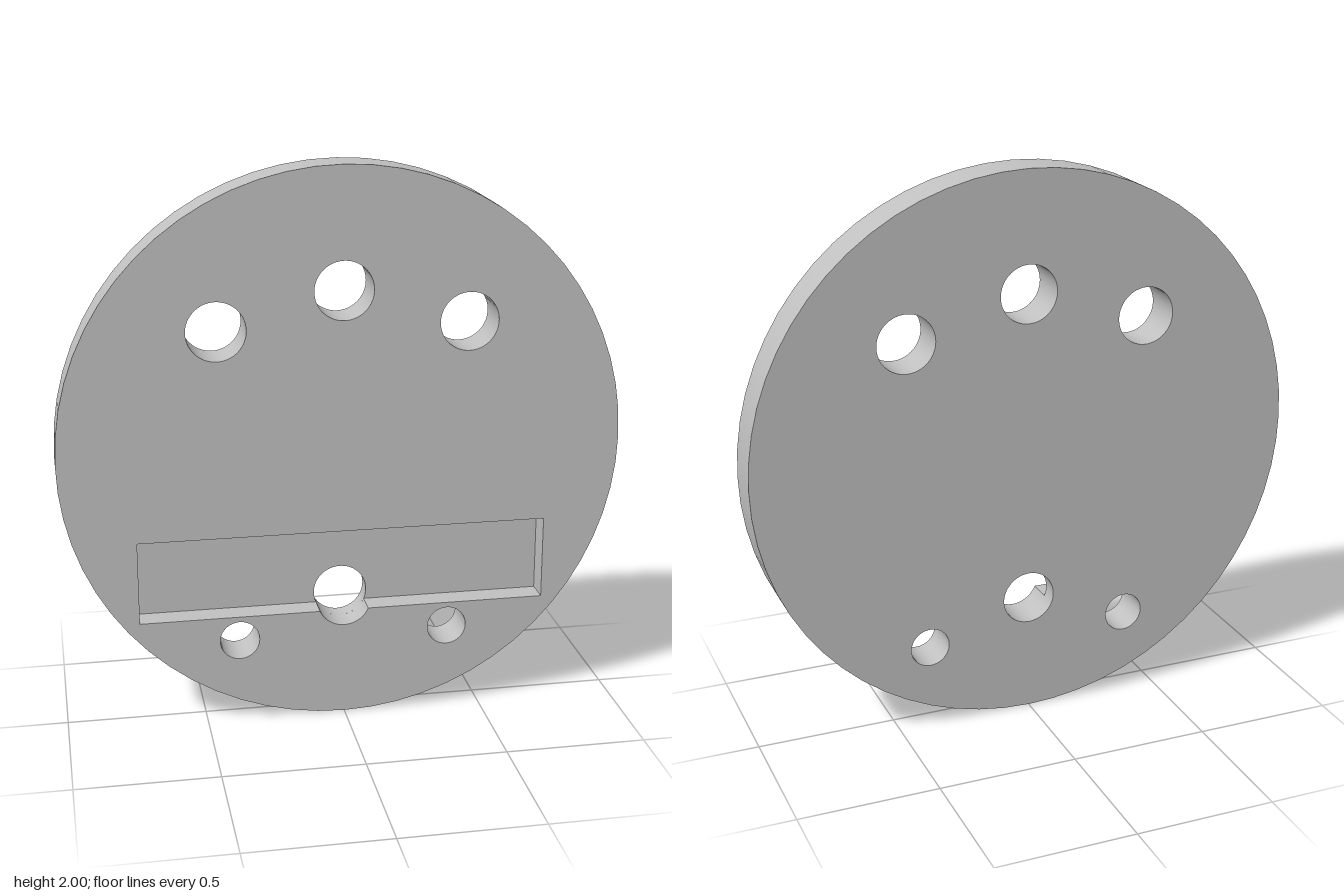
import * as THREE from 'three';

const BACK = -0.078, FRONT = 0.078, FLOOR = -0.013;
const SEG = 64;
const POCKET = { w: 0.733, y0: 0.398, y1: 0.70 };
const CENTRE = { name: 'centreHole', x: 0, y: 0.436, r: 0.096 };
const HOLES = [
  { name: 'topHole', x: 0, y: 1.57, r: 0.104 },
  { name: 'upperLeftHole', x: 0.442, y: 1.445, r: 0.104 },
  { name: 'upperRightHole', x: -0.442, y: 1.445, r: 0.104 },
  { name: 'lowerLeftHole', x: 0.379, y: 0.308, r: 0.071 },
  { name: 'lowerRightHole', x: -0.379, y: 0.308, r: 0.071 },
];

export function createModel() {
  const group = new THREE.Group();
  const grey = new THREE.MeshStandardMaterial({ color: 0xc0c0c0 });
  grey.name = 'plain grey';

  const add = (name, geometry) => {
    const mesh = new THREE.Mesh(geometry, grey);
    mesh.name = name;
    group.add(mesh);
    return mesh;
  };

  const circle = ({ x, y, r }) => new THREE.Path().absarc(x, y, r, 0, Math.PI * 2, true);
  const disc = () => new THREE.Shape().absarc(0, 1, 1, 0, Math.PI * 2, false);
  const face = (name, shape, z) =>
    add(name, new THREE.ShapeGeometry(shape, SEG / 2).translate(0, 0, z));

  // Round wall along z; phi = 0 is its lowest point, and zA > zB makes it face inward
  const roundWall = (name, { x, y, r }, zA, zB, start = 0, length = Math.PI * 2) =>
    add(name, new THREE.LatheGeometry(
      [new THREE.Vector2(r, zA), new THREE.Vector2(r, zB)], SEG, start, length)
      .rotateX(Math.PI / 2).translate(x, y, 0));

  // Rim and through holes
  roundWall('rim', { x: 0, y: 1, r: 1 }, BACK, FRONT);
  HOLES.forEach((h) => roundWall(h.name, h, FRONT, BACK));
  roundWall(CENTRE.name, CENTRE, FLOOR, BACK);

  // Part of the centre hole that notches the pocket's lower edge
  const { w, y0, y1 } = POCKET;
  const half = Math.acos((CENTRE.y - y0) / CENTRE.r);
  const notch = CENTRE.r * Math.sin(half);
  roundWall('centreHoleNotch', CENTRE, FRONT, FLOOR, -half, half * 2);

  // Back face
  const back = disc();
  back.holes = [...HOLES, CENTRE].map(circle);
  face('backFace', back, 0).geometry.rotateY(Math.PI).translate(0, 0, BACK);

  // Front face, with the pocket and notch cut as one outline
  const front = disc();
  const outline = new THREE.Path();
  outline.moveTo(-w, y0);
  outline.lineTo(-notch, y0);
  outline.absarc(0, CENTRE.y, CENTRE.r, -Math.PI / 2 - half, -Math.PI / 2 + half, false);
  outline.lineTo(w, y0);
  outline.lineTo(w, y1);
  outline.lineTo(-w, y1);
  outline.closePath();
  front.holes = [...HOLES.map(circle), outline];
  face('frontFace', front, FRONT);

  // Pocket floor, open where the centre hole passes
  const floor = new THREE.Shape();
  floor.moveTo(-w, y0);
  floor.lineTo(-notch, y0);
  floor.absarc(0, CENTRE.y, CENTRE.r, -Math.PI / 2 - half, -Math.PI / 2 + half, true);
  floor.lineTo(w, y0);
  floor.lineTo(w, y1);
  floor.lineTo(-w, y1);
  face('pocketFloor', floor, FLOOR);

  // Pocket walls
  const depth = FRONT - FLOOR, zMid = (FRONT + FLOOR) / 2;
  add('pocketTop', new THREE.PlaneGeometry(2 * w, depth)
    .rotateX(Math.PI / 2).translate(0, y1, zMid));
  for (const [side, s] of [['Left', 1], ['Right', -1]]) {
    add('pocketEnd' + side, new THREE.PlaneGeometry(depth, y1 - y0)
      .rotateY(-s * Math.PI / 2).translate(s * w, (y0 + y1) / 2, zMid));
    add('pocketLedge' + side, new THREE.PlaneGeometry(w - notch, depth)
      .rotateX(-Math.PI / 2).translate(s * (w + notch) / 2, y0, zMid));
  }
  return group;
}
